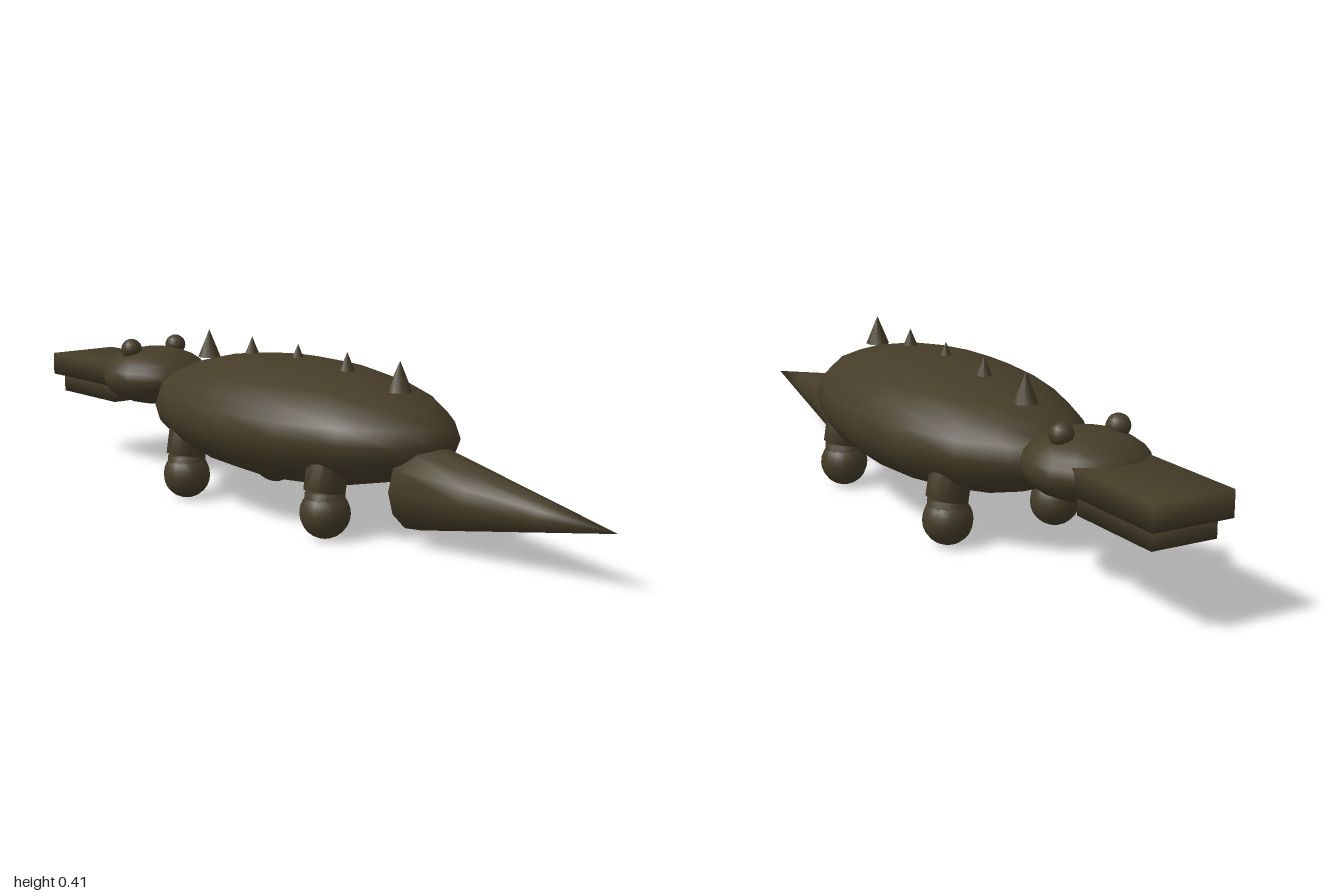
import * as THREE from 'three';
import { mergeVertices } from 'three/addons/utils/BufferGeometryUtils.js';

// Shares corner vertices so normals blend softly across every edge
function soften(geometry) {
  geometry.deleteAttribute('normal');
  geometry.deleteAttribute('uv');
  const merged = mergeVertices(geometry, 1e-4);
  merged.computeVertexNormals();
  return merged;
}

export function createModel() {
  const model = new THREE.Group();
  model.name = 'crocodile';
  const hide = new THREE.MeshStandardMaterial({ color: 0x453c28 });
  hide.name = 'dark olive hide';

  function add(name, geometry, x, y, z) {
    const mesh = new THREE.Mesh(geometry, hide);
    mesh.name = name;
    mesh.position.set(x, y, z);
    model.add(mesh);
    return mesh;
  }

  // Body and head: flattened spheres
  const ball = new THREE.SphereGeometry(1, 16, 12);
  add('body', ball, 0, 0.232, -0.012).scale.set(0.257, 0.148, 0.505);
  add('head', ball, 0, 0.262, -0.628).scale.set(0.145, 0.078, 0.145);

  // Jaws
  add('upperJaw', soften(new THREE.BoxGeometry(0.2, 0.06, 0.28)), 0, 0.26, -0.86);
  add('lowerJaw', soften(new THREE.BoxGeometry(0.162, 0.05, 0.26)), 0, 0.207, -0.843);

  // Tail: cone tapering to a point
  const tail = soften(new THREE.ConeGeometry(0.105, 0.57, 12, 3).rotateX(Math.PI / 2));
  add('tail', tail, 0, 0.132, 0.715);

  // Spikes along the spine, the middle ones sunk into the back
  const spike = new THREE.ConeGeometry(0.03, 0.072, 10);
  for (let i = 0; i < 5; i++) add('backSpike', spike, 0, 0.376, 0.353 - i * 0.183);

  // Eyes and legs, mirrored
  const eye = new THREE.SphereGeometry(0.028, 12, 10);
  const thigh = soften(new THREE.CylinderGeometry(0.05, 0.05, 0.14, 12));
  const shin = soften(new THREE.CylinderGeometry(0.048, 0.048, 0.08, 12));
  const foot = new THREE.SphereGeometry(0.06, 16, 12);
  for (const side of [-1, 1]) {
    add('eye', eye, side * 0.073, 0.338, -0.637);
    for (const z of [0.262, -0.283]) {
      add('thigh', thigh, side * 0.138, 0.18, z).rotation.z = side * 0.16;
      add('shin', shin, side * 0.147, 0.07, z);
      add('foot', foot, side * 0.147, 0.06, z);
    }
  }
  return model;
}
